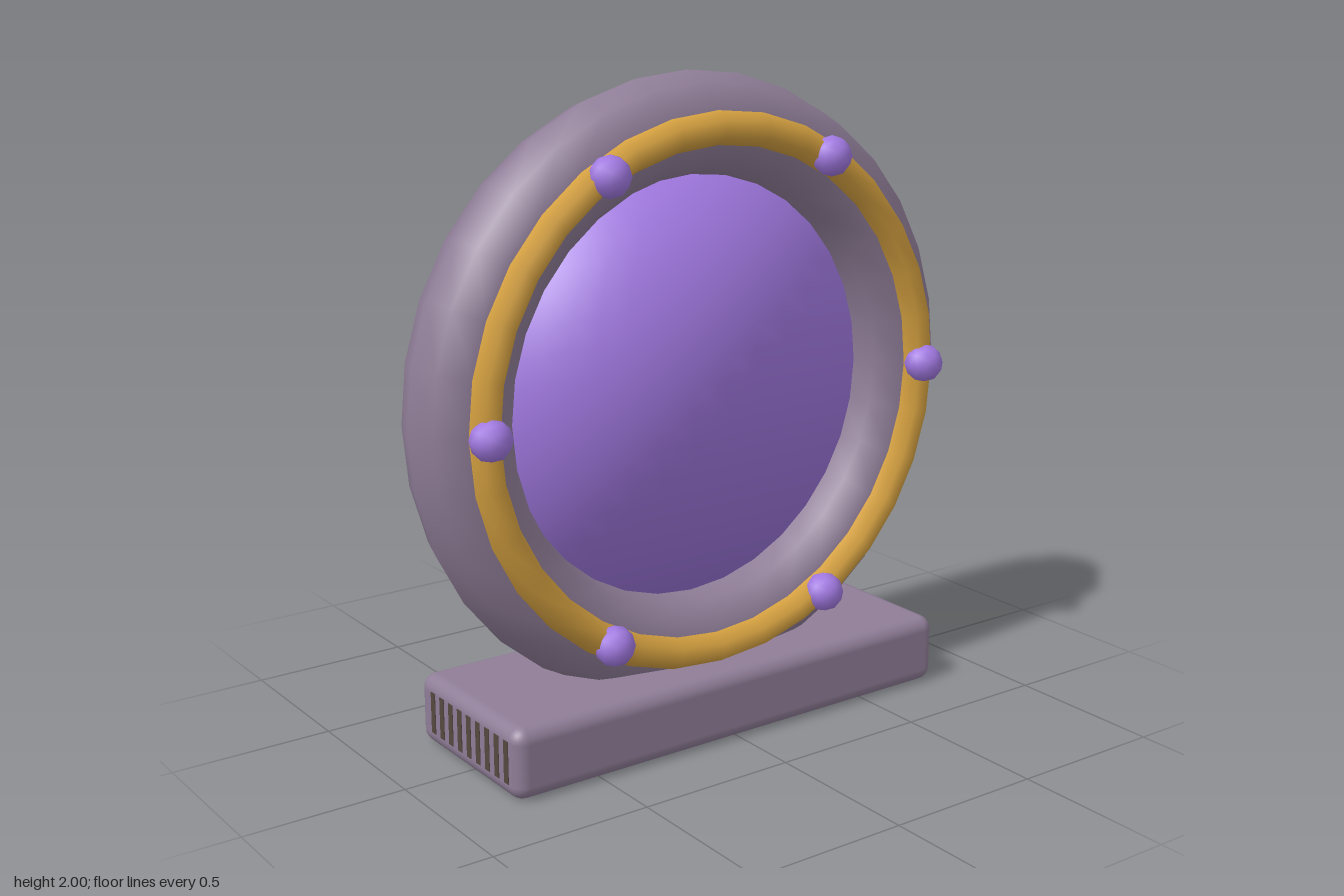
import * as THREE from 'three';
import { RoundedBoxGeometry } from 'three/addons/geometries/RoundedBoxGeometry.js';

const material = (name, color) => {
  const m = new THREE.MeshStandardMaterial({ color });
  m.name = name;
  return m;
};

export function createModel() {
  const stone = material('mauve stone', 0x8f7d97);
  const gold = material('gold', 0xd4a040);
  const violet = material('violet', 0xa078e0);
  const brown = material('dark brown', 0x54493f);

  const model = new THREE.Group();
  model.name = 'portal';
  const add = (name, geometry, mat, x, y, z) => {
    const mesh = new THREE.Mesh(geometry, mat);
    mesh.name = name;
    mesh.position.set(x, y, z);
    model.add(mesh);
  };

  const centreY = 1.05;
  const ringRadius = 0.795;

  // Plinth with softened edges
  add('base', new RoundedBoxGeometry(1.59, 0.22, 0.57, 3, 0.045), stone, 0, 0.11, 0);

  // Row of dark slots on both ends of the plinth
  const slot = new THREE.BoxGeometry(0.004, 0.13, 0.024);
  for (const side of [-1, 1]) {
    for (let i = 0; i < 9; i++) add('slot', slot, brown, side * 0.795, 0.115, 0.228 - i * 0.053);
  }

  // Heavy frame and the slim trim on its front
  add('frame', new THREE.TorusGeometry(0.795, 0.155, 10, 32), stone, 0, centreY, 0);
  add('trimRing', new THREE.TorusGeometry(ringRadius, 0.05, 6, 32), gold, 0, centreY, 0.155);

  // Lens filling the opening: a very flat ball that keeps its round smooth normals
  const lens = new THREE.SphereGeometry(0.78, 40, 28);
  const p = lens.attributes.position;
  for (let i = 0; i < p.count; i++) p.setZ(i, p.getZ(i) * 0.05);
  add('lens', lens, violet, 0, centreY, 0);

  // Six gems spaced evenly on the trim
  const gem = new THREE.IcosahedronGeometry(0.062, 1);
  for (let i = 0; i < 6; i++) {
    const a = (i * Math.PI) / 3;
    add('gem', gem, violet, ringRadius * Math.cos(a), centreY + ringRadius * Math.sin(a), 0.19);
  }

  return model;
}
